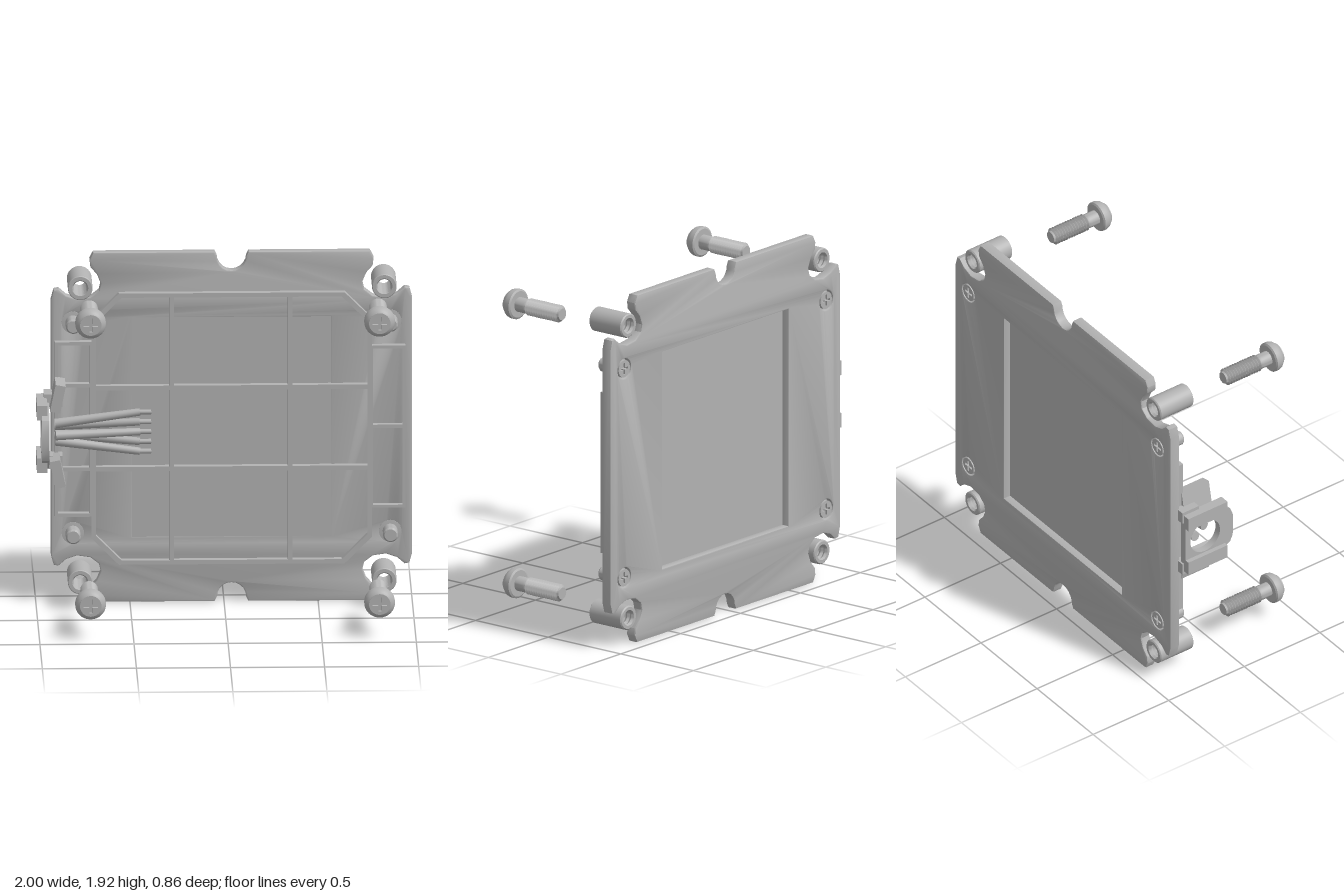
import * as THREE from 'three';
import { toCreasedNormals } from 'three/addons/utils/BufferGeometryUtils.js';

const CX = 0.04, CY = 0.96; // centre of the cover plate
const V = (x, y) => new THREE.Vector2(x, y);

export function createModel() {
  const root = new THREE.Group();
  const grey = new THREE.MeshStandardMaterial({ color: 0xb2b2b2 });
  grey.name = 'grey metal';

  const add = (name, geo, x = 0, y = 0, z = 0, parent = root) => {
    const m = new THREE.Mesh(geo, grey);
    m.name = name;
    m.position.set(x, y, z);
    parent.add(m);
    return m;
  };
  const extrude = (shape, depth, opts = {}) => toCreasedNormals(
    new THREE.ExtrudeGeometry(shape, { depth, bevelEnabled: false, curveSegments: 20, ...opts }), 0.6);
  const box = (name, x0, x1, y0, y1, z0, z1) => add(name,
    new THREE.BoxGeometry(x1 - x0, y1 - y0, z1 - z0), (x0 + x1) / 2, (y0 + y1) / 2, (z0 + z1) / 2);
  const circle = (r, x = 0, y = 0) => new THREE.Path().absarc(x, y, r, 0, Math.PI * 2, true);
  const rect = (w, h) => [V(-w, -h), V(w, -h), V(w, h), V(-w, h)];
  const octagon = (w, h, c) => [V(w, c - h), V(w, h - c), V(w - c, h), V(c - w, h),
    V(-w, h - c), V(-w, c - h), V(c - w, -h), V(w - c, -h)];
  const ring = (outer, inner) => {
    const s = new THREE.Shape(outer);
    s.holes.push(new THREE.Path(inner));
    return s;
  };
  // lathe turned so that its axis runs along z
  const latheZ = (pts, seg = 32) => toCreasedNormals(
    new THREE.LatheGeometry(pts.map(p => V(p[0], p[1])), seg).rotateX(Math.PI / 2), 0.5);

  // Cover plate: one corner profile mirrored into four, with half-round notches
  const corner = [[0.96, 0.7], [0.945, 0.755], [0.92, 0.76], [0.88, 0.725], [0.82, 0.705], [0.75, 0.715],
    [0.705, 0.75], [0.695, 0.79], [0.715, 0.84], [0.75, 0.88], [0.755, 0.92], [0.735, 0.96], [0.09, 0.96]];
  const half = corner.map(p => V(p[0], p[1]));
  for (let i = 0; i <= 10; i++) {
    const a = -Math.PI * i / 10;
    half.push(V(0.078 * Math.cos(a), 0.935 + 0.078 * Math.sin(a)));
  }
  half.push(...corner.slice().reverse().map(p => V(-p[0], p[1])));
  const plate = new THREE.Shape([...half, ...half.map(p => V(-p.x, -p.y))]);
  plate.holes.push(new THREE.Path(rect(0.525, 0.6)));
  for (const sx of [-1, 1]) for (const sy of [-1, 1]) plate.holes.push(circle(0.055, sx * 0.843, sy * 0.578));
  add('coverPlate', extrude(plate, 0.044,
    { bevelEnabled: true, bevelThickness: 0.008, bevelSize: 0.008, bevelOffset: -0.008, bevelSegments: 2 }),
  CX, CY, -0.422);
  box('pocketFloor', CX - 0.53, CX + 0.53, CY - 0.605, CY + 0.605, -0.388, -0.372);

  // Octagonal rim and the ribs inside it
  add('octagonRim', extrude(ring(octagon(0.745, 0.745, 0.145), octagon(0.722, 0.722, 0.137)), 0.045), CX, CY, -0.375);
  for (const x of [-0.28, 0.35]) box('verticalRib', x - 0.012, x + 0.012, 0.23, 1.69, -0.375, -0.332);
  for (const y of [0.74, 1.185]) box('horizontalRib', -0.69, 0.77, y - 0.012, y + 0.012, -0.375, -0.332);

  // Side pockets
  add('leftPocketRim', extrude(ring(rect(0.093, 0.445), rect(0.078, 0.43)), 0.045), 0.87, 0.965, -0.375);
  box('leftPocketDivider', 0.785, 0.95, 0.957, 0.975, -0.375, -0.332);
  add('rightPocketRim', extrude(ring(rect(0.1, 0.48), rect(0.083, 0.462)), 0.045), -0.8, 0.96, -0.375);
  for (const y of [0.74, 1.2]) box('rightPocketDivider', -0.89, -0.7, y - 0.01, y + 0.01, -0.375, -0.332);

  // Disc with a cross-shaped recess, used on every screw head
  const crossCap = (r, depth) => {
    const s = new THREE.Shape().absarc(0, 0, r, 0, Math.PI * 2, false);
    const a = r * 0.66, b = r * 0.14;
    s.holes.push(new THREE.Path([V(a, -b), V(a, b), V(b, b), V(b, a), V(-b, a), V(-b, b),
      V(-a, b), V(-a, -b), V(-b, -b), V(-b, -a), V(b, -a), V(b, -b)]));
    return extrude(s, depth);
  };

  // Threaded bosses at the corners
  const threadPts = (r0, r1, z0, z1, n) => {
    const pts = [];
    for (let i = 0; i <= n * 2; i++) pts.push([i % 2 ? r1 : r0, z0 + (z1 - z0) * i / (n * 2)]);
    return pts;
  };
  const bossGeo = latheZ([[0.043, -0.43], [0.06, -0.43], [0.066, -0.424], [0.066, -0.214], [0.062, -0.21],
    [0.043, -0.21], ...threadPts(0.043, 0.036, -0.21, -0.43, 8)]);

  // Round-head screw with a ridged shank
  const screwGeo = latheZ([[0, 0.06], [0.032, 0.06], ...threadPts(0.036, 0.047, 0.07, 0.29, 13),
    [0.04, 0.3], [0.04, 0.358], [0.072, 0.358], [0.082, 0.364], [0.082, 0.386], [0.077, 0.402],
    [0.066, 0.415], [0.056, 0.421], [0.056, 0.405], [0, 0.405]]);
  const screwCap = crossCap(0.057, 0.02);

  // Pins on the front with a countersunk screw behind each
  const pinGeo = latheZ([[0, -0.4], [0.06, -0.4], [0.06, -0.368], [0.04, -0.366],
    [0.04, -0.285], [0.032, -0.275], [0, -0.275]]);
  const pinCap = crossCap(0.047, 0.03).rotateY(Math.PI);

  for (const sx of [-1, 1]) for (const sy of [-1, 1]) {
    add('cornerBoss', bossGeo, CX + sx * 0.808, CY + sy * 0.808, 0);
    const screw = new THREE.Group();
    screw.name = 'screw';
    screw.position.set(CX + sx * 0.768, CY + sy * 0.772, 0);
    add('screwBody', screwGeo, 0, 0, 0, screw);
    add('screwCrossHead', screwCap, 0, 0, 0.405, screw);
    root.add(screw);
    add('frontPin', pinGeo, CX + sx * 0.843, CY + sy * 0.578, 0);
    add('rearScrewHead', pinCap, CX + sx * 0.843, CY + sy * 0.578, -0.398);
  }

  // Cable guide: arched ring standing at the right edge (shape x maps to -z)
  const arch = new THREE.Shape([V(0.37, -0.14), V(0.37, 0.14), V(0.2, 0.175), V(0.14, 0.165), V(0.11, 0.13),
    V(0.075, 0.11), V(0.058, 0.07), V(0.055, 0), V(0.058, -0.07), V(0.075, -0.11), V(0.11, -0.13),
    V(0.14, -0.165), V(0.2, -0.175)]);
  arch.holes.push(circle(0.098, 0.24, 0));
  add('cableGuideRing', extrude(arch, 0.04).rotateY(Math.PI / 2), -0.975, 0.965, 0);
  for (const s of [-1, 1]) {
    box('cableGuideCheek', -1, -0.945, 0.965 + (s > 0 ? 0.105 : -0.185), 0.965 + (s > 0 ? 0.185 : -0.105), -0.37, -0.11);
    const b = add('cableGuideBlock', new THREE.BoxGeometry(0.055, 0.15, 0.18), -0.888, 0.965 + s * 0.207, -0.25);
    b.rotation.z = -s * 0.2;
    box('cableGuideFoot', -0.96, -0.86, 0.965 + s * 0.17 - 0.035, 0.965 + s * 0.17 + 0.035, -0.38, -0.27);
  }

  // Wires fanning out of the guide, each with a bare tip
  const starts = [[0.92, -0.25], [0.945, -0.305], [0.965, -0.19], [0.99, -0.305], [1.015, -0.25]];
  starts.forEach(([y, z], i) => {
    const from = new THREE.Vector3(-0.9, y, z);
    const to = new THREE.Vector3(-0.45, 0.86 + i * 0.054, -0.25);
    add('wire', new THREE.CylinderGeometry(0.02, 0.026, from.distanceTo(to), 16))
      .quaternion.setFromUnitVectors(new THREE.Vector3(0, 1, 0), to.clone().sub(from).normalize());
    root.children[root.children.length - 1].position.copy(from).lerp(to, 0.5);
    const tip = add('wireTip', new THREE.CylinderGeometry(0.014, 0.014, 0.07, 12), -0.425, to.y, to.z);
    tip.rotation.z = Math.PI / 2;
  });

  return root;
}
